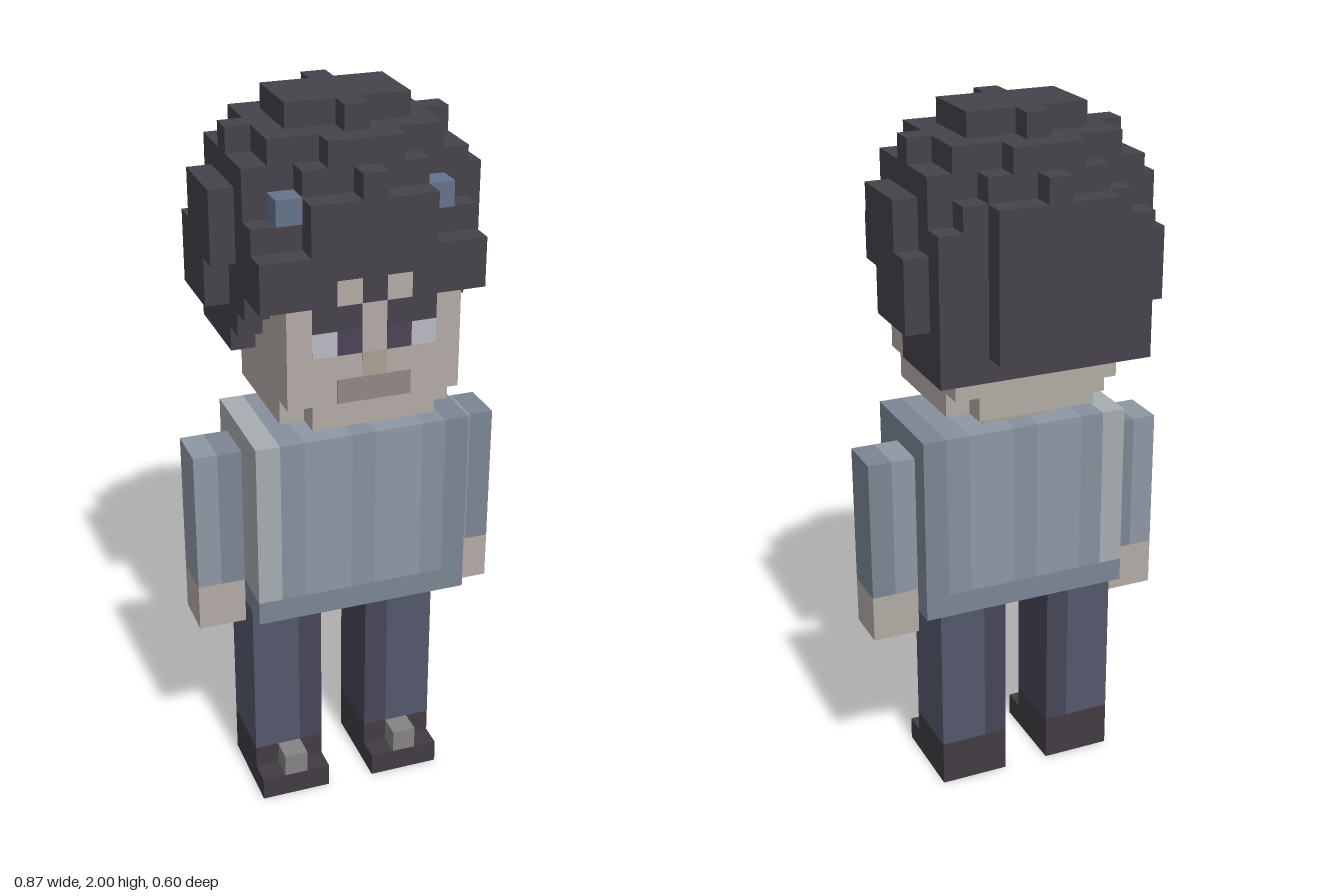
import * as THREE from 'three';

const U = 1 / 15; // one voxel
const COLORS = {
  hair: 0x46424a, hairAccent: 0x66728a, skin: 0xb2aaa5, neck: 0xab9f92, mouth: 0x8f8783,
  eyeWhite: 0xbab9c2, eyeDark: 0x4a4357, shirt: 0x8e97a4, shirtLight: 0xa6acb0,
  shirtShade: 0x868f9c, shirtDark: 0x7b8592, pants: 0x53576b, pantsDark: 0x464556,
  shoe: 0x413c43, buckle: 0x858383,
};
const materials = {};
for (const key in COLORS) {
  materials[key] = new THREE.MeshStandardMaterial({ color: COLORS[key], flatShading: true });
}

export function createModel() {
  const model = new THREE.Group();

  const part = (name) => {
    const g = new THREE.Group();
    g.name = name;
    model.add(g);
    return g;
  };
  // Box between two corners, in voxels
  const box = (parent, name, mat, x0, x1, y0, y1, z0, z1) => {
    const geo = new THREE.BoxGeometry((x1 - x0) * U, (y1 - y0) * U, (z1 - z0) * U);
    geo.translate((x0 + x1) / 2 * U, (y0 + y1) / 2 * U, (z0 + z1) / 2 * U);
    const mesh = new THREE.Mesh(geo, materials[mat]);
    mesh.name = name;
    parent.add(mesh);
  };
  // The same box on both sides of x = 0
  const pair = (parent, name, mat, x0, x1, ...rest) => {
    box(parent, name, mat, x0, x1, ...rest);
    box(parent, name, mat, -x1, -x0, ...rest);
  };

  // Legs and shoes
  for (const [name, x, inner] of [['rightLeg', -4.5, 2], ['leftLeg', 0.5, 0]]) {
    const leg = part(name);
    const outer = inner ? 0 : 1;
    box(leg, 'trouser', 'pants', x + outer, x + outer + 2, 2, 9, -0.5, 2.5);
    box(leg, 'innerTrouser', 'pantsDark', x + inner, x + inner + 1, 2, 9, -0.5, 2.5);
    box(leg, 'shoe', 'shoe', x, x + 3, 0, 2, -0.5, 2.5);
    box(leg, 'shoeToe', 'shoe', x, x + 3, 0, 1, 2.5, 3.5);
    box(leg, 'buckle', 'buckle', x + 1, x + 2, 1, 2, 2.5, 3.5);
  }

  // Shirt in vertical bands above a darker hem
  const torso = part('torso');
  box(torso, 'hem', 'shirtDark', -4.5, 4.5, 9, 10, -1.5, 3.5);
  const bands = [
    [-4.5, -3.5, 'shirtLight'], [-3.5, -2.5, 'shirtShade'], [-2.5, -0.5, 'shirt'],
    [-0.5, 0.5, 'shirtShade'], [0.5, 2.5, 'shirt'], [2.5, 3.5, 'shirtShade'], [3.5, 4.5, 'shirtDark'],
  ];
  for (const [x0, x1, mat] of bands) box(torso, 'shirtBand', mat, x0, x1, 10, 17, -1.5, 3.5);

  // Arms
  for (const [name, x] of [['rightArm', -6.5], ['leftArm', 4.5]]) {
    const arm = part(name);
    box(arm, 'sleeveRight', 'shirt', x, x + 1, 10, 16, -0.5, 1.5);
    box(arm, 'sleeveLeft', 'shirtDark', x + 1, x + 2, 10, 16, -0.5, 1.5);
    box(arm, 'hand', 'skin', x, x + 2, 8, 10, -0.5, 1.5);
  }

  // Head with notched lower corners
  const head = part('head');
  box(head, 'neck', 'neck', -1.5, 1.5, 17, 18, -0.5, 2.5);
  box(head, 'skull', 'skin', -3.5, 3.5, 19, 23, -2.5, 4.5);
  box(head, 'jaw', 'skin', -2.5, 2.5, 18, 19, -2.5, 4.5);
  pair(head, 'jawSide', 'skin', 2.5, 3.5, 18, 19, -1.5, 3.5);

  // Face details lie almost flush with the face
  const face = part('face');
  const f0 = 4.45, f1 = 4.52;
  pair(face, 'forehead', 'skin', 0.5, 1.5, 23, 24, f0, f1);
  pair(face, 'eyebrow', 'hair', 0.5, 2.5, 22, 23, f0, f1);
  pair(face, 'eyeWhite', 'eyeWhite', 1.5, 2.5, 21, 22, f0, f1);
  pair(face, 'pupil', 'eyeDark', 0.5, 1.5, 21, 22, f0, f1);
  box(face, 'nose', 'neck', -0.5, 0.5, 20, 21, f0, f1);
  box(face, 'mouth', 'mouth', -1.5, 1.5, 19, 20, f0, f1);

  // Crown of the hair, stepping down from the top
  const hair = part('hair');
  const crown = [
    [2.5, 29, 30, 1.5], [0.5, 29, 30, 2.5],
    [3.5, 23, 29, 2.5], [1.5, 23, 29, 3.5], [4.5, 23, 29, 0.5],
    [4.5, 23, 28, 2.5], [2.5, 23, 28, 3.5], [3.5, 23, 27, 3.5], [4.5, 23, 26, 3.5],
  ];
  for (const [x, y0, y1, z] of crown) box(hair, 'crown', 'hair', -x, x, y0, y1, -z, z);

  // Stepped fringe
  for (const [x, top] of [[4.5, 25], [2.5, 27], [0.5, 28]]) {
    box(hair, 'fringe', 'hair', -x, x, 23, top, 3.5, 4.5);
  }

  // Sides, hanging lower towards the back
  for (const [y0, z0, z1] of [[22, 1.5, 2.5], [21, 0.5, 1.5], [20, -3.5, 0.5]]) {
    pair(hair, 'sideHair', 'hair', 3.5, 4.5, y0, 23, z0, z1);
  }
  pair(hair, 'upperSideTuft', 'hair', 4.5, 5.5, 24, 27, -1.5, 1.5);
  pair(hair, 'lowerSideTuft', 'hair', 4.5, 5.5, 22, 25, -2.5, 0.5);

  // Back
  box(hair, 'backHair', 'hair', -3.5, 3.5, 20, 23, -3.5, -2.5);
  box(hair, 'backTuft', 'hair', -2.5, 2.5, 21, 27, -4.5, -3.5);
  box(hair, 'backTuftTip', 'hair', -0.5, 0.5, 27, 28, -4.5, -3.5);

  // Small tinted highlights
  pair(hair, 'highlight', 'hairAccent', 2.5, 3.53, 26, 27.02, 2.5, 3.53);

  return model;
}
